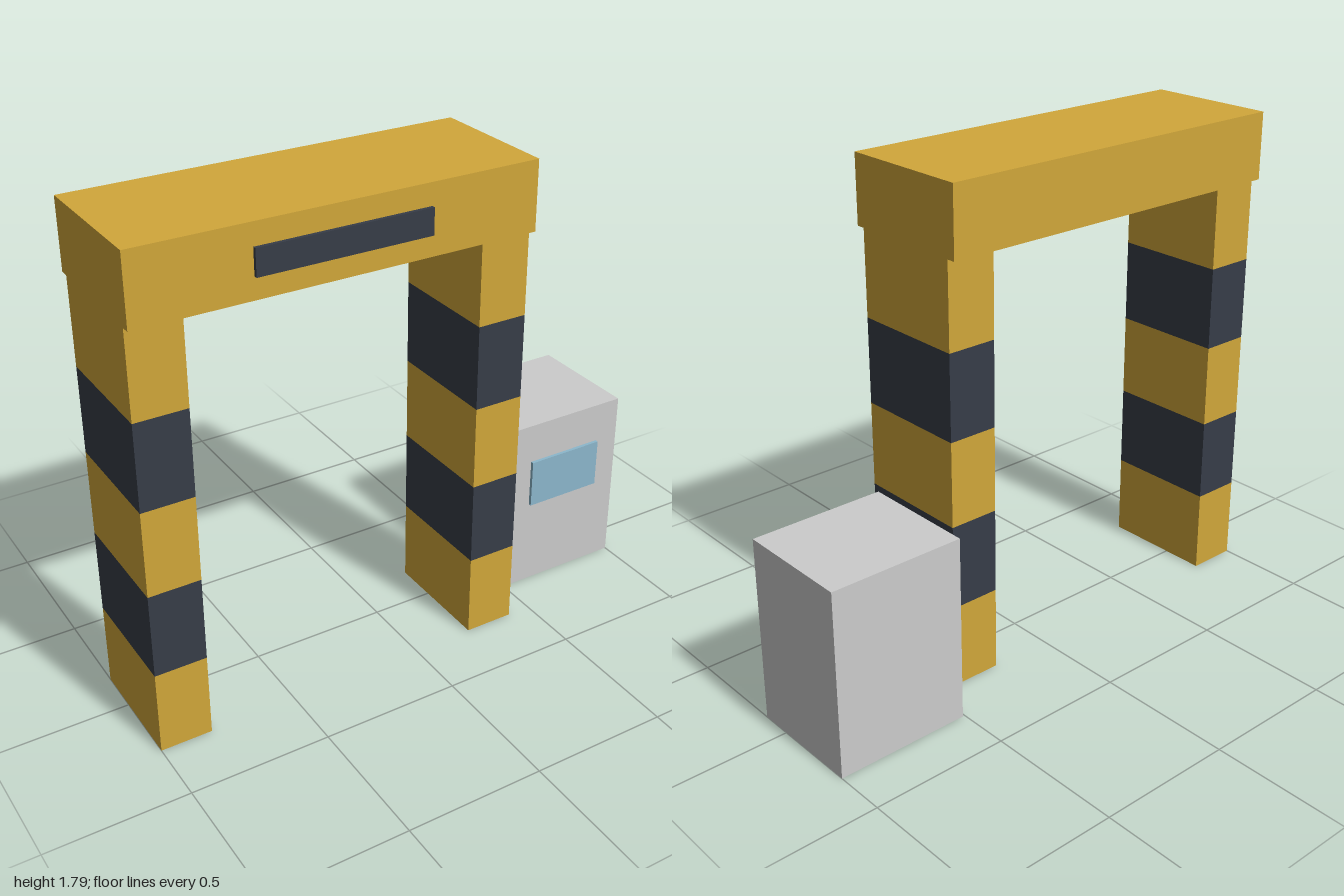
import * as THREE from 'three';

const paint = (color) => new THREE.MeshStandardMaterial({ color });

export function createModel() {
  const yellow = paint(0xd1a73a);
  const dark = paint(0x373d48);
  const grey = paint(0xcccccc);
  const glass = paint(0x8cb7cc);

  const model = new THREE.Group();
  model.name = 'stripedGantry';

  // Box given by its extents along each axis
  function box(name, material, [x0, x1], [y0, y1], [z0, z1], parent = model) {
    const mesh = new THREE.Mesh(new THREE.BoxGeometry(x1 - x0, y1 - y0, z1 - z0), material);
    mesh.position.set((x0 + x1) / 2, (y0 + y1) / 2, (z0 + z1) / 2);
    mesh.name = name;
    parent.add(mesh);
    return mesh;
  }

  // Two posts, each a stack of alternating warning bands
  const postHeight = 1.542, bands = 5, band = postHeight / bands;
  for (const [name, x0, x1] of [['rightPost', -1, -0.816], ['leftPost', 0.228, 0.412]]) {
    const post = new THREE.Group();
    post.name = name;
    for (let i = 0; i < bands; i++) {
      const striped = i % 2 === 1;
      box(striped ? 'darkBand' : 'yellowBand', striped ? dark : yellow,
        [x0, x1], [i * band, (i + 1) * band], [-0.16, 0.27], post);
    }
    model.add(post);
  }

  // Cross beam with the sign panel on its front
  box('crossBeam', yellow, [-1, 0.412], [postHeight, 1.787], [-0.192, 0.302]);
  box('signPanel', dark, [-0.6, 0.012], [1.618, 1.71], [0.29, 0.315]);

  // Control cabinet beside the gantry, with its screen
  box('controlCabinet', grey, [0.508, 1], [0, 0.678], [-0.315, 0.115]);
  box('cabinetScreen', glass, [0.6, 0.905], [0.34, 0.525], [0.105, 0.127]);

  return model;
}
